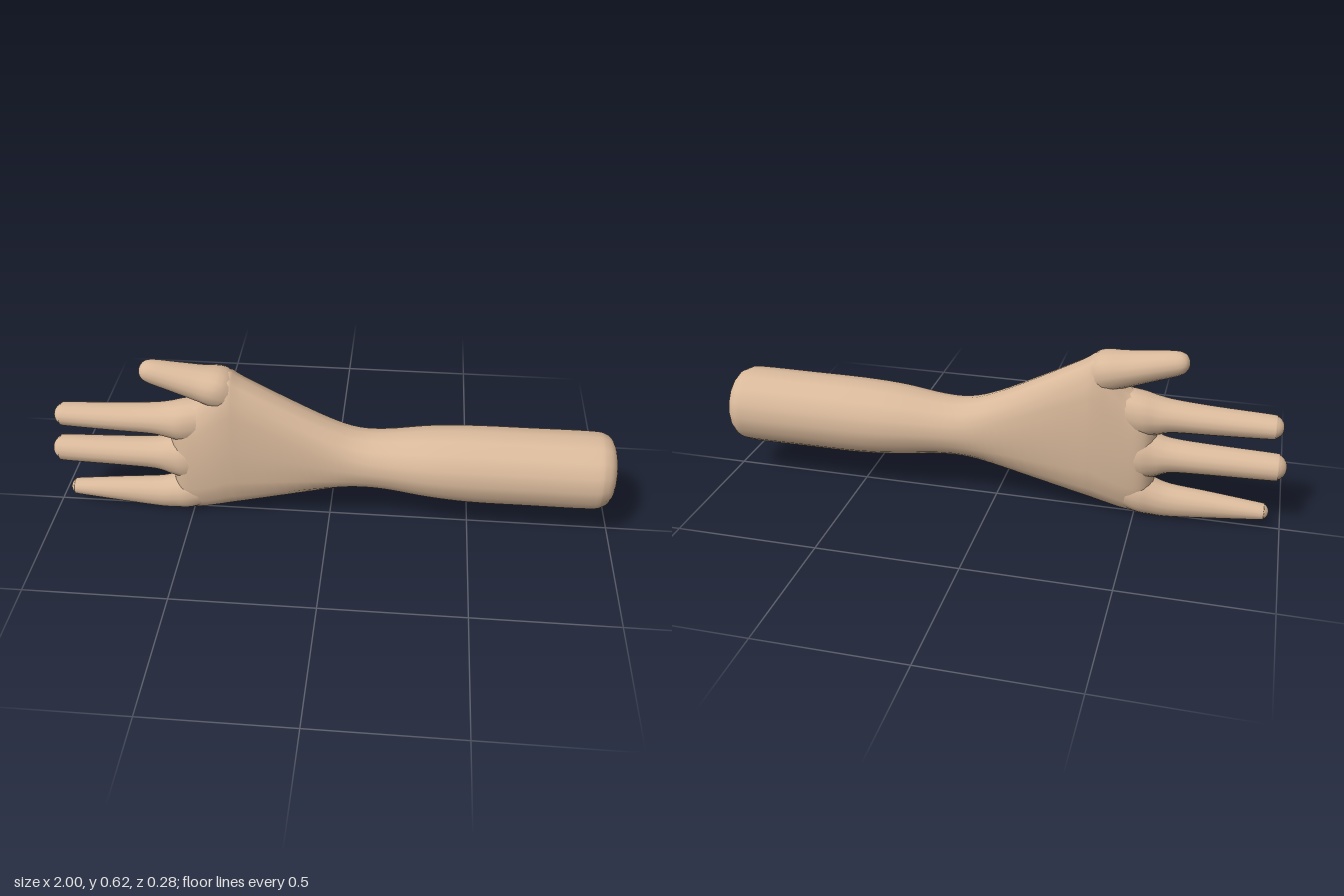
import * as THREE from 'three';

const skin = new THREE.MeshStandardMaterial({ color: 0xd9b99b });
const SIDES = 16;

// Smooth loft through cross-sections listed from the body end to the tip.
// Row: [lower x, lower y, upper x, upper y, half depth in z, roundness (2 = ellipse)]
function loft(name, rows, stepsPerRow = 4) {
  const curve = (pick) => new THREE.CatmullRomCurve3(
    rows.map((r) => new THREE.Vector3(...pick(r))), false, 'catmullrom', 0.5);
  const lower = curve((r) => [r[0], r[1], 0]);
  const upper = curve((r) => [r[2], r[3], 0]);
  const shape = curve((r) => [r[4], r[5] ?? 2, 0]);
  const rings = (rows.length - 1) * stepsPerRow;
  const pos = [], index = [];
  for (let i = 0; i <= rings; i++) {
    const lo = lower.getPoint(i / rings), hi = upper.getPoint(i / rings);
    const s = shape.getPoint(i / rings);
    const mid = lo.clone().add(hi).multiplyScalar(0.5);
    const half = hi.clone().sub(lo).multiplyScalar(0.5);
    for (let j = 0; j < SIDES; j++) {
      const a = (j / SIDES) * Math.PI * 2;
      const round = (v) => Math.sign(v) * Math.pow(Math.abs(v), 2 / s.y);
      const u = round(Math.cos(a)), w = round(Math.sin(a));
      pos.push(mid.x + half.x * u, mid.y + half.y * u, Math.max(s.x, 0) * w);
      if (i < rings) {
        const p = i * SIDES + j, q = i * SIDES + (j + 1) % SIDES;
        index.push(p, p + SIDES, q, q, p + SIDES, q + SIDES);
      }
    }
  }
  const geo = new THREE.BufferGeometry();
  geo.setAttribute('position', new THREE.Float32BufferAttribute(pos, 3));
  geo.setIndex(index);
  geo.computeVertexNormals();
  const mesh = new THREE.Mesh(geo, skin);
  mesh.name = name;
  return mesh;
}

// Upright section at one x
const cut = (x, y0, y1, hz, n) => [x, y0, x, y1, hz, n];

// Rounded fingertip sections following a last full section
function tip(x, y, r, hz, length) {
  return [0.45, 0.75, 0.93, 1].map((t) => {
    const k = Math.sqrt(1 - t * t);
    return cut(x - length * t, y - r * k, y + r * k, hz * k);
  });
}

export function createModel() {
  const group = new THREE.Group();
  group.name = 'hand';

  // Forearm, wrist and palm
  group.add(loft('forearmAndPalm', [
    cut(1.0, 0.26, 0.26, 0),
    cut(0.995, 0.205, 0.315, 0.055),
    cut(0.98, 0.155, 0.365, 0.105),
    cut(0.95, 0.13, 0.39, 0.13),
    cut(0.9, 0.122, 0.397, 0.138),
    cut(0.7, 0.122, 0.397, 0.138),
    cut(0.5, 0.123, 0.396, 0.137),
    cut(0.35, 0.135, 0.388, 0.13),
    cut(0.2, 0.153, 0.37, 0.11),
    cut(0.1, 0.153, 0.372, 0.1, 2.1),
    cut(0.0, 0.135, 0.405, 0.094, 2.3),
    cut(-0.15, 0.098, 0.48, 0.091, 2.6),
    cut(-0.3, 0.06, 0.562, 0.09, 2.8),
    cut(-0.35, 0.047, 0.59, 0.09, 2.8),
    cut(-0.4, 0.034, 0.54, 0.087, 2.8),
    cut(-0.46, 0.018, 0.478, 0.08, 2.7),
    cut(-0.51, 0.012, 0.455, 0.07, 2.6),
    cut(-0.54, 0.03, 0.43, 0.052, 2.5),
    cut(-0.56, 0.08, 0.38, 0.02, 2.2),
    cut(-0.562, 0.23, 0.23, 0),
  ]));

  // Thumb, its root slanted into the palm
  group.add(loft('thumb', [
    [-0.3, 0.42, -0.3, 0.55, 0.05],
    [-0.4, 0.465, -0.355, 0.595, 0.08, 2.2],
    [-0.475, 0.488, -0.44, 0.604, 0.068],
    [-0.55, 0.514, -0.53, 0.613, 0.055],
    [-0.615, 0.536, -0.605, 0.62, 0.044],
    [-0.64, 0.55, -0.636, 0.613, 0.034],
    [-0.651, 0.565, -0.65, 0.597, 0.018],
    [-0.654, 0.58, -0.654, 0.58, 0],
  ]));

  // Three fingers, each flaring where it leaves the palm
  group.add(loft('indexFinger', [
    cut(-0.4, 0.32, 0.48, 0.06),
    cut(-0.5, 0.31, 0.465, 0.074, 2.2),
    cut(-0.56, 0.317, 0.452, 0.067),
    cut(-0.62, 0.331, 0.442, 0.061),
    cut(-0.75, 0.336, 0.433, 0.055),
    cut(-0.93, 0.344, 0.426, 0.048),
    ...tip(-0.93, 0.385, 0.041, 0.048, 0.046),
  ]));
  group.add(loft('middleFinger', [
    cut(-0.4, 0.15, 0.32, 0.06),
    cut(-0.5, 0.145, 0.325, 0.075, 2.2),
    cut(-0.56, 0.155, 0.312, 0.068),
    cut(-0.62, 0.178, 0.297, 0.062),
    cut(-0.75, 0.185, 0.29, 0.057),
    cut(-0.95, 0.19, 0.285, 0.05),
    ...tip(-0.95, 0.238, 0.048, 0.05, 0.05),
  ]));
  group.add(loft('littleFinger', [
    cut(-0.4, 0.05, 0.16, 0.055),
    cut(-0.5, 0.012, 0.16, 0.068, 2.1),
    cut(-0.56, 0.003, 0.14, 0.061),
    cut(-0.62, 0.002, 0.122, 0.055),
    cut(-0.75, 0.014, 0.11, 0.046),
    cut(-0.925, 0.033, 0.092, 0.034),
    ...tip(-0.925, 0.0625, 0.03, 0.034, 0.033),
  ]));

  return group;
}
